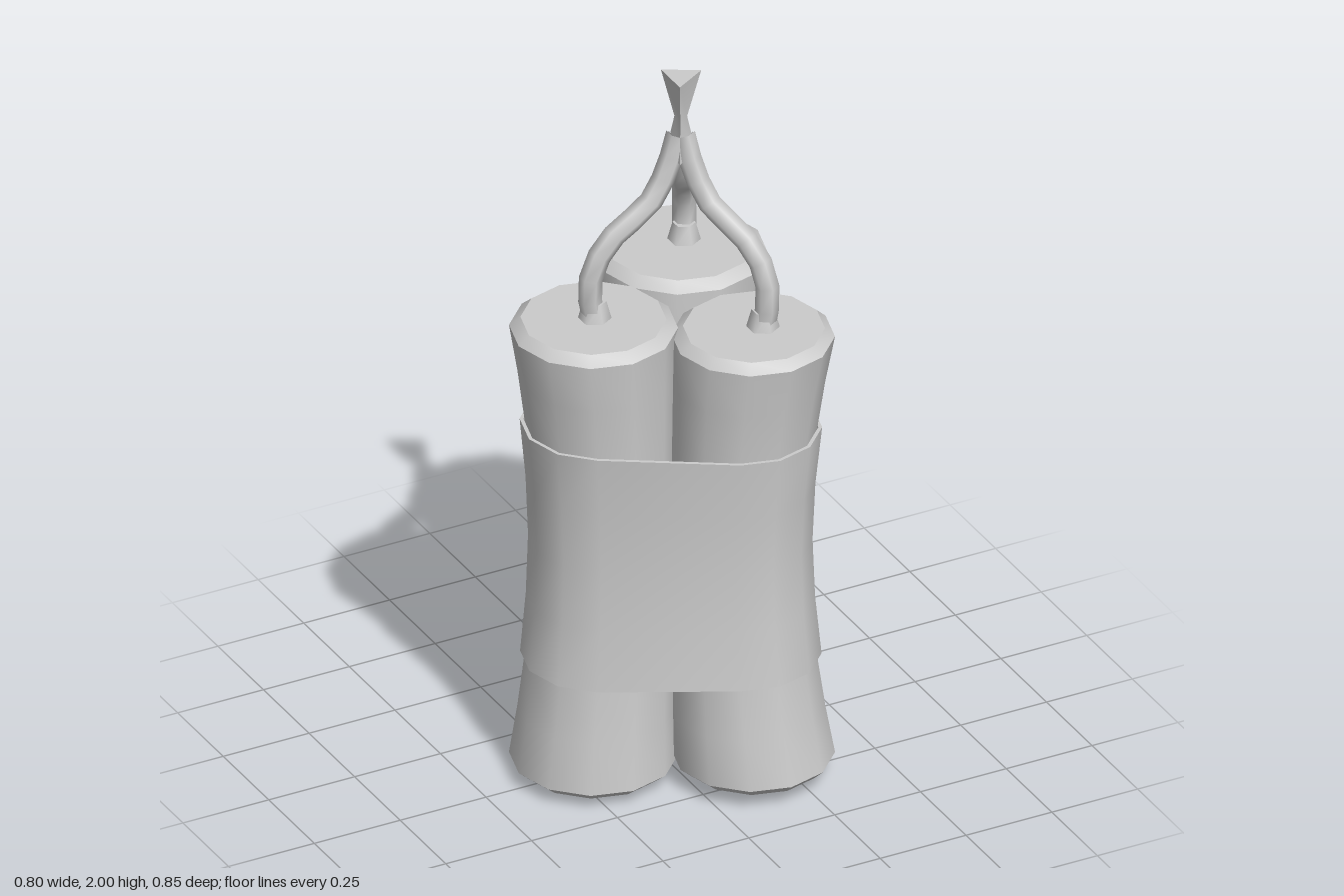
import * as THREE from 'three';
import { toCreasedNormals } from 'three/addons/utils/BufferGeometryUtils.js';

const MID = 0.685;
// x, z, radius and half height of each tube
const STICKS = [
  { name: 'backStick', x: 0.175, z: -0.205, r: 0.225, h: 0.682 },
  { name: 'frontStick', x: 0.17, z: 0.208, r: 0.213, h: 0.645 },
  { name: 'rightStick', x: -0.187, z: 0, r: 0.218, h: 0.662 },
];
const KNOT_X = 0.067;

// The whole bundle narrows towards its middle height
const squeeze = (y) => 0.84 + 0.16 * Math.min(1, Math.abs((y - MID) / 0.64)) ** 1.8;

function mesh(name, geometry, material, crease = 0.62) {
  const m = new THREE.Mesh(toCreasedNormals(geometry, crease), material);
  m.name = name;
  return m;
}

// Twelve-sided tube with bevelled ends, squeezed about the bundle's axis
function stickGeometry({ x, z, r, h }) {
  const profile = [[0, -h], [r - 0.03, -h], [r, -h + 0.025]];
  for (const t of [-0.75, -0.52, -0.26, 0, 0.26, 0.52, 0.75]) profile.push([r, t * h]);
  profile.push([r, h - 0.025], [r - 0.03, h], [0, h]);
  const g = new THREE.LatheGeometry(profile.map(([a, b]) => new THREE.Vector2(a, b)), 12);
  g.translate(x, MID, z);
  const p = g.attributes.position;
  for (let i = 0; i < p.count; i++) {
    const s = squeeze(p.getY(i));
    p.setX(i, p.getX(i) * s);
    p.setZ(i, p.getZ(i) * s);
  }
  return g;
}

// Convex outline around all tubes, counter-clockwise from above
function bundleOutline() {
  const pts = [];
  for (const st of STICKS) {
    for (let i = 0; i < 12; i++) {
      const a = (i * Math.PI) / 6;
      pts.push({ st, a, x: st.x + st.r * Math.cos(a), y: -(st.z + st.r * Math.sin(a)) });
    }
  }
  pts.sort((a, b) => a.x - b.x || a.y - b.y);
  const chain = (list) => {
    const out = [];
    for (const p of list) {
      while (out.length > 1) {
        const [a, b] = out.slice(-2);
        if ((b.x - a.x) * (p.y - a.y) - (b.y - a.y) * (p.x - a.x) > 1e-6) break;
        out.pop();
      }
      out.push(p);
    }
    return out.slice(0, -1);
  };
  return [...chain(pts), ...chain([...pts].reverse())];
}

// Thin wrap: outer wall going up, then inner wall going down
function bandGeometry() {
  const outline = bundleOutline();
  const n = outline.length;
  const levels = [-1, -0.5, 0, 0.5, 1];
  const rows = [...levels.map((t) => [t, 0.014]), ...[...levels].reverse().map((t) => [t, 0.003])];
  const pos = [], index = [];
  for (const [t, offset] of rows) {
    for (const { st, a } of outline) {
      const y = MID + 0.006 + t * st.h * 0.523;
      const s = squeeze(y), r = st.r + offset;
      pos.push((st.x + r * Math.cos(a)) * s, y, (st.z + r * Math.sin(a)) * s);
    }
  }
  for (let j = 0; j < rows.length; j++) {
    for (let i = 0; i < n; i++) {
      const k = (i + 1) % n, up = (j + 1) % rows.length;
      const a = j * n + i, b = j * n + k, c = up * n + k, d = up * n + i;
      index.push(a, b, c, a, c, d);
    }
  }
  const g = new THREE.BufferGeometry();
  g.setAttribute('position', new THREE.Float32BufferAttribute(pos, 3));
  g.setIndex(index);
  g.computeVertexNormals();
  return g;
}

// Cord bowing out from the knot (local +x) with a flared foot on the tube
function makeFuse(material, top) {
  const fuse = new THREE.Group();
  const path = new THREE.CatmullRomCurve3(
    [[0.25, top - 0.01], [0.265, 1.42], [0.252, 1.5], [0.19, 1.58], [0.095, 1.64], [0.04, 1.73], [0.008, 1.83]]
      .map(([x, y]) => new THREE.Vector3(x, y, 0)));
  fuse.add(mesh('fuseCord', new THREE.TubeGeometry(path, 9, 0.031, 6), material, 1.1));
  const foot = new THREE.CylinderGeometry(0.03, 0.046, 0.06, 6);
  foot.translate(0.25, top + 0.02, 0);
  fuse.add(mesh('fuseFoot', foot, material, 1.1));
  return fuse;
}

export function createModel() {
  const model = new THREE.Group();
  model.name = 'tubeBundle';
  const grey = new THREE.MeshStandardMaterial({ color: 0xcccccc });

  for (const st of STICKS) model.add(mesh(st.name, stickGeometry(st), grey));
  model.add(mesh('wrapBand', bandGeometry(), grey));

  // One cord per tube, meeting at the knot
  [Math.PI / 3, -Math.PI / 3, Math.PI].forEach((angle, i) => {
    const fuse = makeFuse(grey, MID + STICKS[i].h);
    fuse.name = STICKS[i].name + 'Fuse';
    fuse.position.x = KNOT_X;
    fuse.rotation.y = angle;
    model.add(fuse);
  });

  // Twisted knot, pinched and then flaring to a three-cornered tip
  const tip = new THREE.LatheGeometry(
    [[0, 1.74], [0.045, 1.76], [0.019, 1.875], [0.06, 2], [0, 2]].map(([r, y]) => new THREE.Vector2(r, y)), 3);
  tip.rotateY(Math.PI / 2);
  tip.translate(KNOT_X, 0, 0);
  model.add(mesh('fuseTip', tip, grey));
  return model;
}
